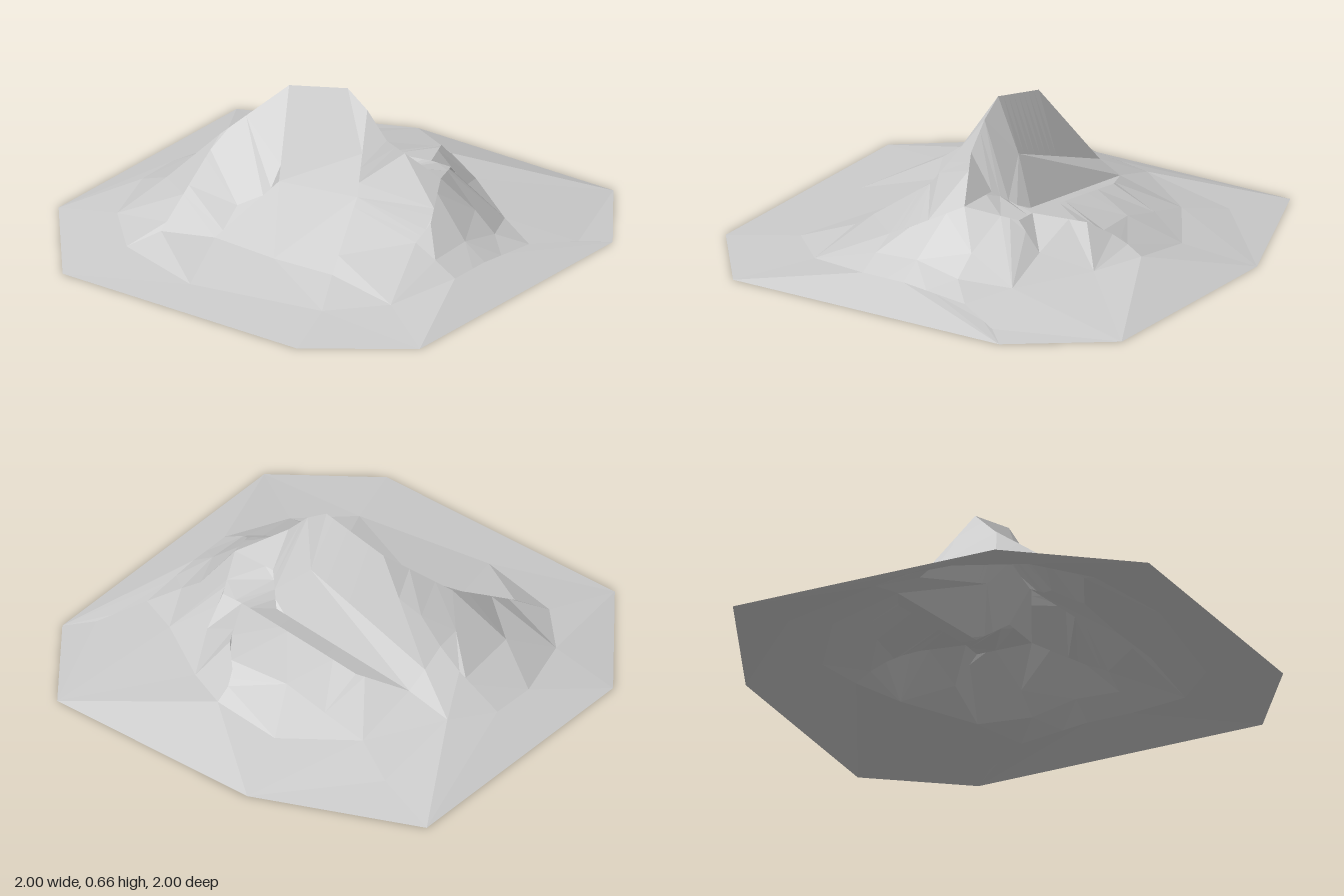
import * as THREE from 'three';

// All landmarks are [x, z, height]
const rim = [[-0.5, -1, 0], [0.7, -1, 0], [1, -0.3, 0], [1, 0.7, 0], [0.6, 1, 0], [-0.7, 1, 0], [-1, 0.6, 0], [-1, -0.6, 0]];

// Creases that must stay sharp, as polylines
const folds = {
  crest: [[0.1, 0.5, 0.33], [0, 0.3, 0.48], [0, 0.2, 0.59], [0, 0.1, 0.66], [0, -0.2, 0.59], [0.1, -0.5, 0.21]],
  northRidge: [[0, -0.5, 0.27], [0, -0.6, 0.19], [0, -0.8, 0.08]],
  cliffButtress: [[0.1, -0.5, 0.21], [0.1, 0.1, 0.43], [0.2, -0.5, 0.16]],
  cliffFoot: [[0.1, 0.5, 0.33], [0.1, 0.3, 0.33], [0.2, 0.2, 0.24], [0.2, -0.5, 0.16]],
  shelfEdge: [[0.1, 0.5, 0.33], [0.3, 0.4, 0.28], [0.3, 0.3, 0.28], [0.3, -0.1, 0.235], [0.3, -0.3, 0.21], [0.2, -0.5, 0.16]],
  shelfLip: [[0.3, 0.3, 0.28], [0.5, 0.2, 0.25], [0.6, 0.1, 0.17], [0.7, 0.1, 0.11]],
  notch: [[0.3, 0.4, 0.28], [0.4, 0.4, 0.16], [0.3, 0.3, 0.28]],
  westSpur: [[0, -0.2, 0.59], [-0.2, -0.4, 0.39], [-0.3, -0.4, 0.32], [-0.6, -0.4, 0.1]],
  westGully: [[0, -0.2, 0.59], [-0.2, -0.1, 0.26], [-0.5, -0.2, 0.09]],
  southwestSpur: [[0, 0.2, 0.59], [-0.2, 0.3, 0.3], [-0.5, 0.4, 0.09]],
  southSpur: [[0.1, 0.5, 0.33], [-0.1, 0.6, 0.23], [-0.2, 0.6, 0.18]],
  southFoot: [[-0.2, 0.8, 0.075], [0, 0.8, 0.075], [0.3, 0.8, 0.045], [0.5, 0.9, 0.012]],
};

// Single points on the gentler slopes
const slopes = [[0, -0.4, 0.377], [-0.1, -0.5, 0.29], [-0.3, -0.6, 0.175], [-0.2, -0.8, 0.075], [0.2, -0.7, 0.11], [-0.5, -0.7, 0.06],
  [0.6, -0.7, 0.035], [-0.7, -0.5, 0.04], [-0.8, -0.1, 0.02], [-0.7, 0.5, 0.03], [-0.5, 0.1, 0.08], [-0.35, -0.2, 0.18],
  [0.5, -0.1, 0.18], [0.5, -0.3, 0.13], [0.5, -0.5, 0.085], [0.7, -0.2, 0.07], [0.4, 0.6, 0.07], [0.6, 0.3, 0.09], [0.2, 0.6, 0.18],
  [-0.2, 0.7, 0.13], [0, 0.7, 0.14], [0.2, 0.7, 0.1], [-0.5, 0.7, 0.04]];

// Splits a crease into short steps so the triangulation follows it
function subdivide(line, step = 0.04) {
  return line.slice(1).flatMap((end, i) => {
    const start = line[i];
    const n = Math.ceil(Math.hypot(end[0] - start[0], end[1] - start[1]) / step);
    return Array.from({ length: n + 1 }, (_, k) => start.map((s, j) => s + (end[j] - s) * k / n));
  });
}

// Delaunay triangulation by inserting one point at a time
function triangulate(points) {
  const n = points.length;
  // a tiny offset avoids ties between points lying on one circle
  const p = points.map(([x, z], i) => i < rim.length ? [x, z]
    : [x + 2e-5 * Math.sin(i * 12.9), z + 2e-5 * Math.cos(i * 7.3)]);
  p.push([-90, -80], [90, -80], [0, 120]);
  const circle = (a, b, c) => {
    const [ax, az] = p[a], bx = p[b][0] - ax, bz = p[b][1] - az, cx = p[c][0] - ax, cz = p[c][1] - az;
    const d = 2 * (bx * cz - bz * cx), b2 = bx * bx + bz * bz, c2 = cx * cx + cz * cz;
    const ux = (cz * b2 - bz * c2) / d, uz = (bx * c2 - cx * b2) / d;
    return { v: [a, b, c], x: ax + ux, z: az + uz, r2: ux * ux + uz * uz };
  };
  let tris = [circle(n, n + 1, n + 2)];
  for (let i = 0; i < n; i++) {
    const edges = new Map();
    tris = tris.filter((t) => {
      if ((p[i][0] - t.x) ** 2 + (p[i][1] - t.z) ** 2 >= t.r2) return true;
      t.v.forEach((a, k) => {
        const b = t.v[(k + 1) % 3];
        if (!edges.delete(`${b},${a}`)) edges.set(`${a},${b}`, [a, b]);
      });
      return false;
    });
    for (const [a, b] of edges.values()) tris.push(circle(a, b, i));
  }
  return tris.map((t) => t.v).filter((v) => v.every((k) => k < n));
}

export function createModel() {
  const group = new THREE.Group();
  group.name = 'mountain';

  // Gather the landmarks, keeping shared corners once
  const unique = new Map();
  for (const q of [...rim, ...Object.values(folds).flatMap((line) => subdivide(line)), ...slopes]) {
    unique.set(`${Math.round(q[0] * 1000)},${Math.round(q[1] * 1000)}`, q);
  }
  const points = [...unique.values()];

  // Open faceted surface, corners ordered to face upward
  const geometry = new THREE.BufferGeometry();
  geometry.setAttribute('position', new THREE.Float32BufferAttribute(points.flatMap(([x, z, h]) => [x, h, z]), 3));
  geometry.setIndex(triangulate(points).flatMap(([a, b, c]) => [a, c, b]));
  const faceted = geometry.toNonIndexed();
  faceted.computeVertexNormals();

  const terrain = new THREE.Mesh(faceted, new THREE.MeshStandardMaterial({
    color: 0xcccccc, flatShading: true, side: THREE.DoubleSide,
  }));
  terrain.name = 'terrain';
  group.add(terrain);
  return group;
}
